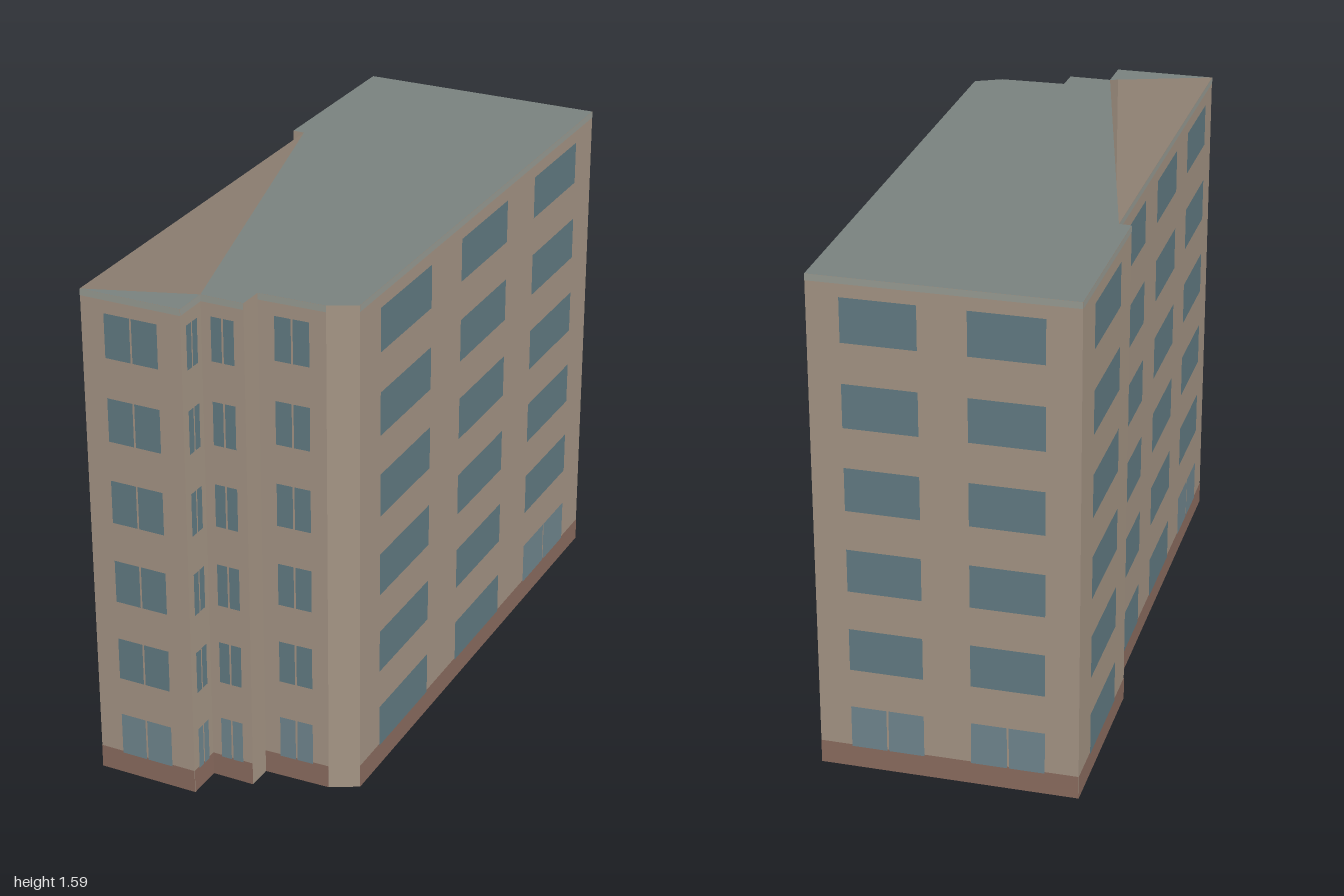
import * as THREE from 'three';

const HEIGHT = 1.588, FLOORS = 6, FLOOR_STEP = 0.264;
const BASE_H = 0.075, TRIM_H = 0.02, SILL = 0.07, WINDOW_H = 0.138, GAP = 0.006;

// Footprint corners [x, z], walking from the front left corner round the right side
const P = [
  [-0.478, 0.963], [-0.158, 0.998], [-0.145, 0.885], [-0.01, 0.9], [0, 0.82], [0.21, 0.836],
  [0.297, 0.802], [0.476, -0.918], [-0.315, -1], [-0.376, -0.417], [-0.338, -0.411],
];

// Walls by first corner; windows: centres along the wall (0..1), width,
// split: panes on every floor, split columns: two lighter panes on the ground floor only
const WALLS = [
  { name: 'frontLeftWall', at: [0.5], width: 0.171, split: true },
  { name: 'frontStepWall', at: [0.5], width: 0.06, split: true },
  { name: 'frontMiddleWall', at: [0.5], width: 0.073, split: true },
  { name: 'frontReturnWall', at: [] },
  { name: 'frontRightWall', at: [0.5], width: 0.108, split: true },
  { name: 'chamferWall', at: [] },
  { name: 'rightWall', at: [0.175, 0.497, 0.819], width: 0.343, groundSplit: [2] },
  { name: 'backWall', at: [0.265, 0.73], width: 0.225, groundSplit: [0, 1] },
  { name: 'leftRearWall', at: [0.5], width: 0.315 },
  { name: 'leftNotchWall', at: [] },
  { name: 'leftWall', at: [0.157, 0.486, 0.815], width: 0.287, groundSplit: [2] },
];

const mat = (color, side = THREE.FrontSide) => new THREE.MeshStandardMaterial({ color, side });

export function createModel() {
  const model = new THREE.Group();
  const wallMat = mat(0xa69686, THREE.DoubleSide);
  const roofMat = mat(0x7a837f, THREE.DoubleSide);
  const baseMat = mat(0x8c6d60), trimMat = mat(0x9a9d95);
  const glassMat = mat(0x637c84), groundGlassMat = mat(0x71878f);

  // Upright rectangle in a wall's own plane
  const panel = (parent, name, w, h, x, y, z, material) => {
    const mesh = new THREE.Mesh(new THREE.PlaneGeometry(w, h), material);
    mesh.name = name;
    mesh.position.set(x, y + h / 2, z);
    parent.add(mesh);
  };

  WALLS.forEach((spec, i) => {
    const [ax, az] = P[i], [bx, bz] = P[(i + 1) % P.length];
    const length = Math.hypot(bx - ax, bz - az);
    const wall = new THREE.Group();
    wall.name = spec.name;
    wall.position.set((ax + bx) / 2, 0, (az + bz) / 2);
    wall.rotation.y = Math.atan2(az - bz, bx - ax);
    model.add(wall);
    panel(wall, 'wallSurface', length, HEIGHT, 0, 0, 0, wallMat);
    if (!spec.at.length) return;

    // Plinth and roof edge strip
    panel(wall, 'plinth', length, BASE_H, 0, 0, 0.001, baseMat);
    panel(wall, 'roofEdge', length, TRIM_H, 0, HEIGHT - TRIM_H, 0.001, trimMat);

    // Windows, one or two panes each
    spec.at.forEach((t, column) => {
      for (let floor = 0; floor < FLOORS; floor++) {
        const ground = floor === 0 && (spec.split || spec.groundSplit?.includes(column));
        const material = ground ? groundGlassMat : glassMat;
        const x = (t - 0.5) * length, y = SILL + floor * FLOOR_STEP;
        if (spec.split || ground) {
          const w = (spec.width - GAP) / 2;
          for (const s of [-1, 1]) {
            panel(wall, 'windowPane', w, WINDOW_H, x + s * (w + GAP) / 2, y, 0.002, material);
          }
        } else {
          panel(wall, 'window', spec.width, WINDOW_H, x, y, 0.002, material);
        }
      }
    });
  });

  // Flat roof in two pieces, leaving an open wedge beside the left wall
  const roofs = { mainRoof: P.slice(2), frontLeftRoof: P.slice(0, 3) };
  for (const [name, corners] of Object.entries(roofs)) {
    const shape = new THREE.Shape(corners.map(([x, z]) => new THREE.Vector2(x, -z)));
    const roof = new THREE.Mesh(new THREE.ShapeGeometry(shape).rotateX(-Math.PI / 2), roofMat);
    roof.name = name;
    roof.position.y = HEIGHT;
    model.add(roof);
  }
  return model;
}
